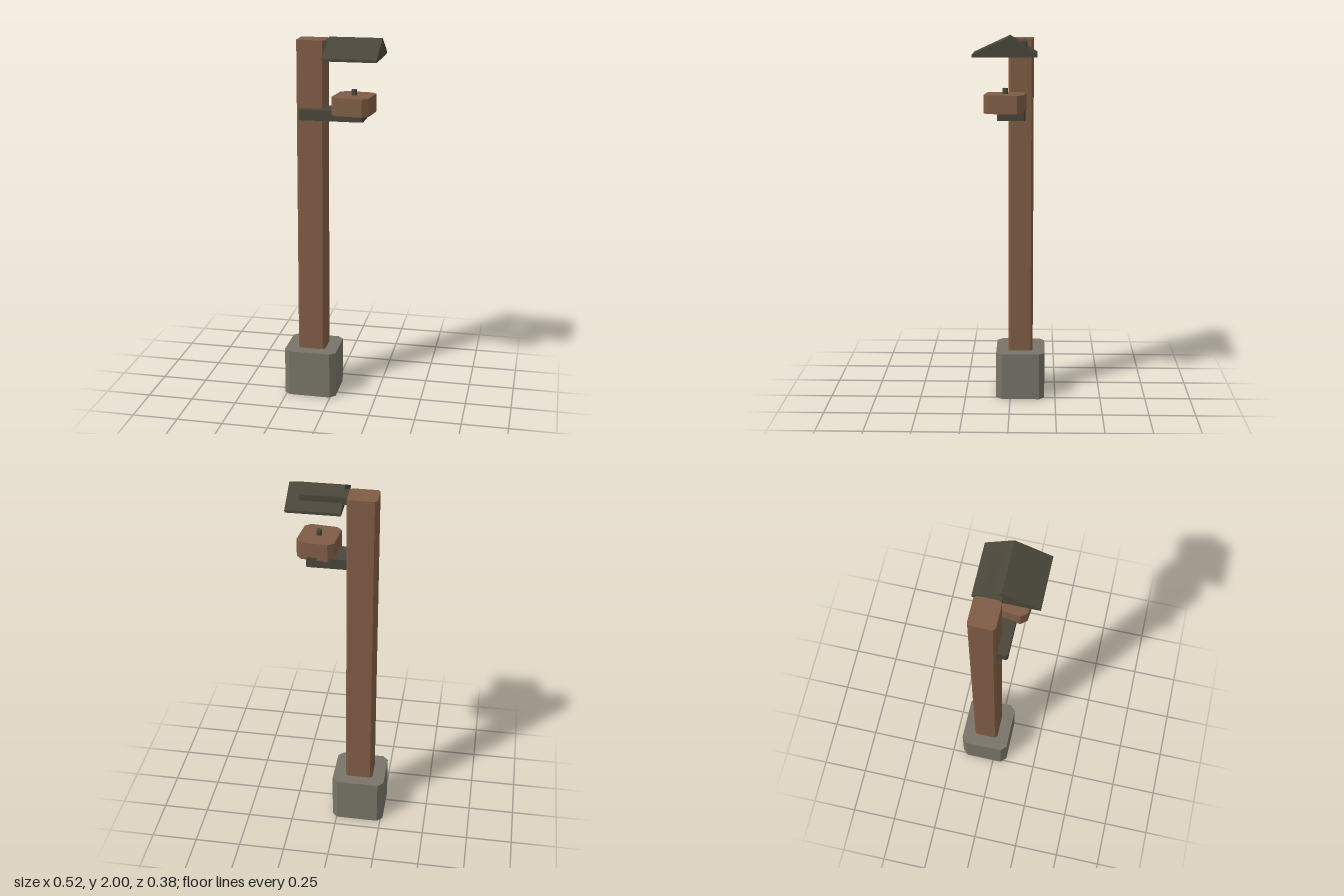
import * as THREE from 'three';

const material = (name, color) => {
  const m = new THREE.MeshStandardMaterial({ color });
  m.name = name;
  return m;
};

// Upright block with bevelled vertical edges, given by its ranges on each axis
function block(name, mat, [x0, x1], [y0, y1], [z0, z1], c) {
  const w = (x1 - x0) / 2, d = (z1 - z0) / 2;
  const outline = [
    [w, c - d], [w, d - c], [w - c, d], [c - w, d],
    [-w, d - c], [-w, c - d], [c - w, -d], [w - c, -d],
  ].map(([x, y]) => new THREE.Vector2(x, y));
  const geo = new THREE.ExtrudeGeometry(new THREE.Shape(outline), { depth: y1 - y0, bevelEnabled: false });
  geo.rotateX(-Math.PI / 2);
  const mesh = new THREE.Mesh(geo, mat);
  mesh.name = name;
  mesh.position.set((x0 + x1) / 2, y0, (z0 + z1) / 2);
  return mesh;
}

export function createModel() {
  const stone = material('stone', 0x787468);
  const wood = material('wood', 0x7f5d45);
  const darkWood = material('darkWood', 0x4a463a);
  const model = new THREE.Group();
  model.name = 'lampPost';

  // Footing, post and the two crossbars
  model.add(
    block('stoneBase', stone, [-0.262, 0.027], [0, 0.26], [-0.19, 0.078], 0.03),
    block('post', wood, [-0.193, -0.042], [0.26, 1.98], [-0.124, 0.011], 0.012),
    block('lowerBracket', darkWood, [-0.171, 0.173], [1.57, 1.625], [-0.081, 0.065], 0.009),
    block('upperArm', darkWood, [-0.1, 0.2], [1.937, 1.977], [-0.091, 0.008], 0.006),
  );

  // Slightly turned lantern box with a peg on top
  const lantern = block('lanternBox', wood, [0.0205, 0.2175], [1.61, 1.705], [-0.08, 0.126], 0.028);
  const peg = block('lanternPeg', darkWood, [0.106, 0.131], [1.7, 1.735], [0.01, 0.035], 0.004);
  for (const part of [lantern, peg]) {
    part.rotation.y = THREE.MathUtils.degToRad(-6);
    model.add(part);
  }

  // Gabled roof: side profile drawn with -z as shape x, swept along x
  const profile = [[-0.187, 1.9], [0.143, 1.9], [0.143, 1.914], [0, 2], [-0.187, 1.914]]
    .map(([x, y]) => new THREE.Vector2(x, y));
  const roofGeo = new THREE.ExtrudeGeometry(new THREE.Shape(profile), { depth: 0.279, bevelEnabled: false });
  roofGeo.rotateY(Math.PI / 2);
  const roof = new THREE.Mesh(roofGeo, darkWood);
  roof.name = 'roof';
  roof.position.x = -0.018;
  model.add(roof);

  return model;
}
